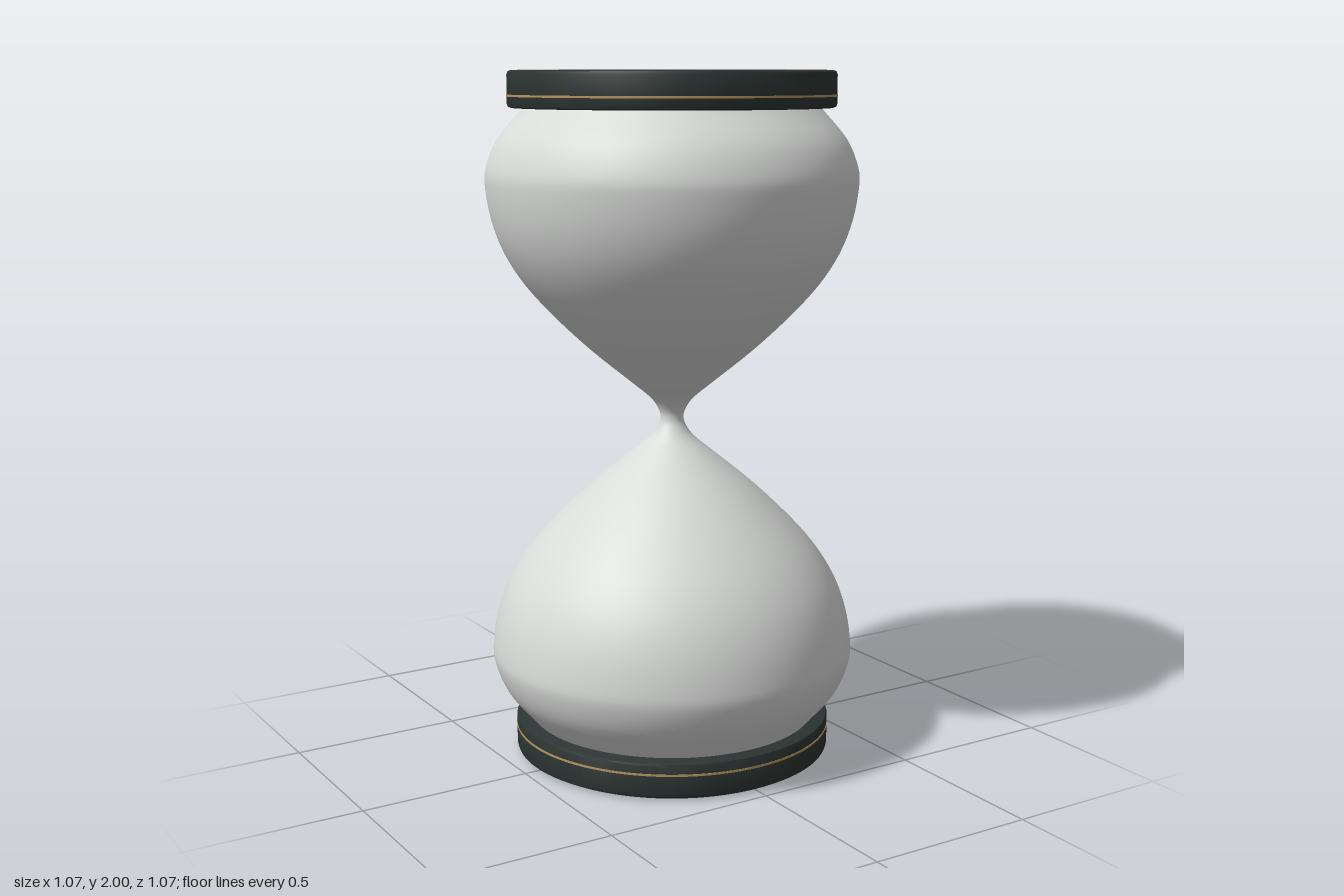
import * as THREE from 'three';
import { toCreasedNormals } from 'three/addons/utils/BufferGeometryUtils.js';

const SEGMENTS = 96;

export function createModel() {
  const mat = (name, color) => {
    const m = new THREE.MeshStandardMaterial({ color });
    m.name = name;
    return m;
  };
  const glass = mat('frosted glass', 0xd9dbd9);
  const dark = mat('dark green lacquer', 0x2c3533);
  const gold = mat('gold', 0xb8965c);

  const lathe = (name, points, material, crease) => {
    let geometry = new THREE.LatheGeometry(points.map(([r, y]) => new THREE.Vector2(r, y)), SEGMENTS);
    if (crease) geometry = toCreasedNormals(geometry, 0.6);
    const mesh = new THREE.Mesh(geometry, material);
    mesh.name = name;
    return mesh;
  };

  const model = new THREE.Group();
  model.name = 'hourglass';

  // Glass: half profile from base to neck, mirrored for the upper bulb
  const half = [[0.405, 0.09], [0.43, 0.12], [0.497, 0.2], [0.53, 0.28], [0.532, 0.34], [0.516, 0.43],
    [0.482, 0.52], [0.425, 0.61], [0.345, 0.7], [0.24, 0.8], [0.125, 0.895], [0.065, 0.945], [0.04, 0.98]];
  const middle = 1.004;
  const outline = [...half, [0.034, middle], ...half.slice().reverse().map(([r, y]) => [r, 2 * middle - y])];
  const curve = new THREE.SplineCurve(outline.map(([r, y]) => new THREE.Vector2(r, y)));
  model.add(lathe('glassBulbs', curve.getPoints(104).map((p) => [p.x, p.y]), glass, false));

  // Cap: y = 0 faces the glass, y = 0.104 is the outer face
  function makeCap(name) {
    const cap = new THREE.Group();
    cap.name = name;
    cap.add(lathe('capBody', [
      [0, 0], [0.457, 0], [0.464, 0.003], [0.467, 0.01],
      [0.467, 0.092], [0.464, 0.1], [0.457, 0.104],
      [0.4185, 0.104], [0.4185, 0.1], [0.4155, 0.1], [0.4155, 0.104], [0, 0.104],
    ], dark, true));
    // Gold line around the rim
    cap.add(lathe('rimStripe', [
      [0.466, 0.031], [0.4685, 0.031], [0.4685, 0.037], [0.466, 0.037],
    ], gold, true));
    return cap;
  }

  const topCap = makeCap('topCap');
  topCap.position.y = 1.896;
  // Gold ring inlaid in the top face
  topCap.add(lathe('topInlayRing', [
    [0.453, 0.1035], [0.453, 0.1045], [0.447, 0.1045], [0.447, 0.1035],
  ], gold, true));
  model.add(topCap);

  const bottomCap = makeCap('bottomCap');
  bottomCap.rotation.x = Math.PI;
  bottomCap.position.y = 0.111;
  model.add(bottomCap);

  // Thin pad under the base
  model.add(lathe('basePad', [[0, 0], [0.444, 0], [0.444, 0.008]], dark, true));

  return model;
}
